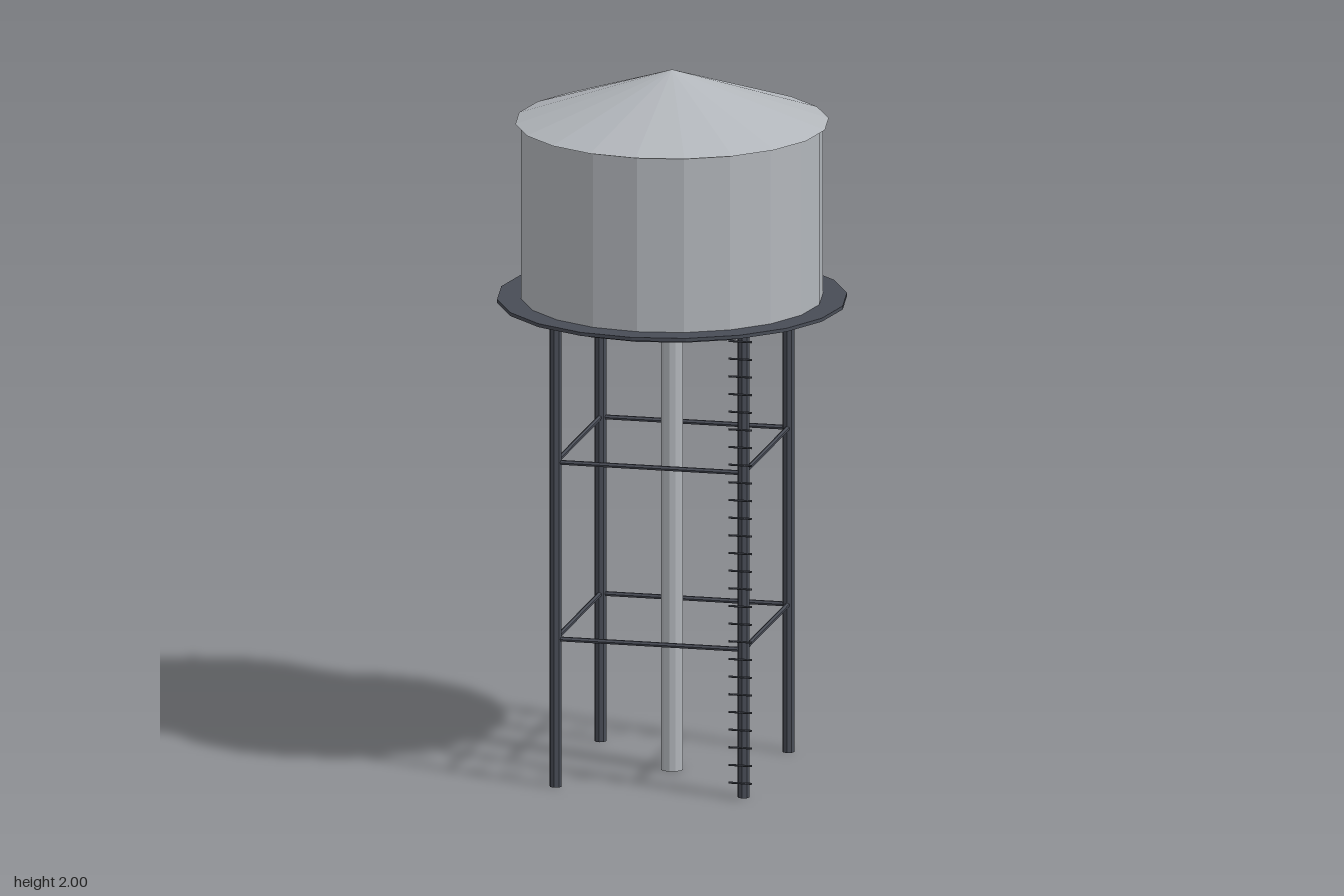
import * as THREE from 'three';

const steel = new THREE.MeshStandardMaterial({ color: 0xb2b6bb, flatShading: true });
steel.name = 'pale steel';
const iron = new THREE.MeshStandardMaterial({ color: 0x484c56, flatShading: true });
iron.name = 'dark iron';

const SIDES = 20;
const LEG = 0.268; // leg offset from the centre in x and z

export function createModel() {
  const tower = new THREE.Group();
  tower.name = 'waterTower';

  const add = (name, geometry, material, x, y, z) => {
    const mesh = new THREE.Mesh(geometry, material);
    mesh.name = name;
    mesh.position.set(x, y, z);
    tower.add(mesh);
    return mesh;
  };
  // Upright cylinder between two heights
  const column = (name, r, y0, y1, sides, material, x = 0, z = 0) =>
    add(name, new THREE.CylinderGeometry(r, r, y1 - y0, sides), material, x, (y0 + y1) / 2, z);

  // Tank, roof and platform
  column('tank', 0.42, 1.345, 1.853, SIDES, steel);
  add('roof', new THREE.ConeGeometry(0.436, 0.148, SIDES), steel, 0, 1.926, 0);
  column('tankFloor', 0.428, 1.325, 1.35, SIDES, iron);
  column('walkway', 0.487, 1.342, 1.352, SIDES, iron);

  // Central riser pipe
  column('riserPipe', 0.032, 0, 1.33, 12, steel);

  // Four legs
  for (const x of [-LEG, LEG]) {
    for (const z of [-LEG, LEG]) column('leg', 0.017, 0, 1.33, 8, iron, x, z);
  }

  // Two square rings of horizontal braces
  const brace = new THREE.CylinderGeometry(0.007, 0.007, LEG * 2, 6);
  for (const y of [0.422, 0.927]) {
    for (const side of [-LEG, LEG]) {
      add('braceAcross', brace, iron, 0, y, side).rotation.z = Math.PI / 2;
      add('braceDeep', brace, iron, side, y, 0).rotation.x = Math.PI / 2;
    }
  }

  // Ladder rungs in front of the left front leg
  const rung = new THREE.CylinderGeometry(0.003, 0.003, 0.066, 6);
  for (let i = 0; i < 26; i++) {
    add('ladderRung', rung, iron, LEG, 0.05 + i * 0.0505, 0.31).rotation.z = Math.PI / 2;
  }

  return tower;
}
